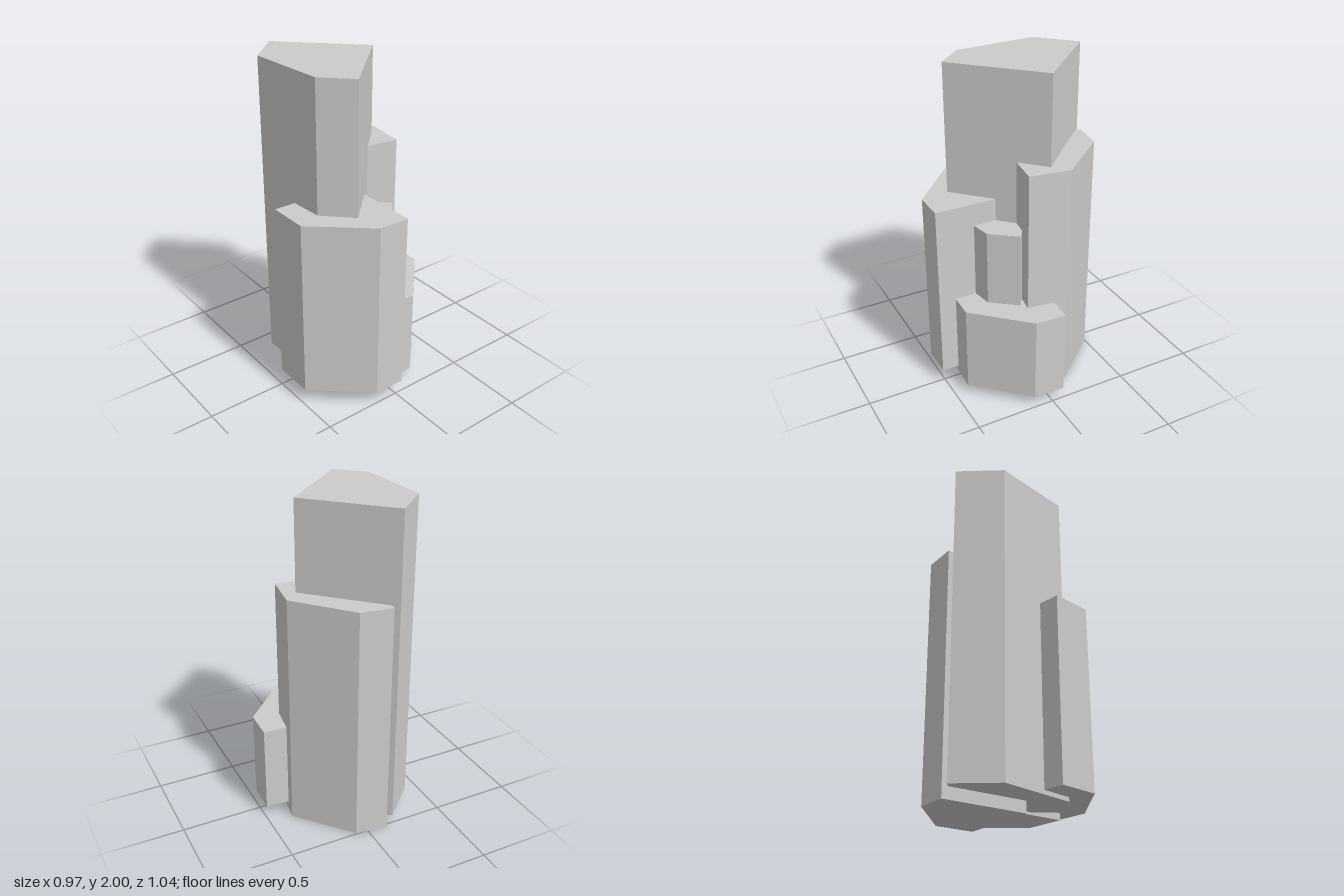
import * as THREE from 'three';

// Each column: name, bottom height, top height, outline as [x, z] corners
const COLUMNS = [
  ['tallColumn', 0.07, 2.0,
    [[-0.16, -0.52], [0.265, -0.09], [-0.185, 0.35], [-0.343, 0.19], [-0.37, -0.315]]],
  ['backColumn', 0, 1.46,
    [[-0.12, -0.522], [0.075, -0.495], [0.353, -0.17], [0.318, 0.078], [-0.2, 0.005]]],
  ['sideColumn', 0.095, 1.21,
    [[-0.487, -0.015], [-0.487, 0.235], [-0.163, 0.52], [0.03, 0.52], [0.03, -0.015]]],
  ['smallColumn', 0.08, 1.07,
    [[0.272, 0.105], [0.153, 0.26], [0.0, 0.287], [-0.04, 0.1], [0.12, -0.005]]],
  ['shortColumn', 0.055, 0.6,
    [[0.485, -0.083], [0.478, 0.11], [0.185, 0.421], [-0.07, 0.411], [-0.03, 0.13], [0.2, -0.097]]],
];

// Upright prism over a ground outline
function prism(outline, bottom, top) {
  const shape = new THREE.Shape(outline.map(([x, z]) => new THREE.Vector2(x, -z)));
  return new THREE.ExtrudeGeometry(shape, { depth: top - bottom, bevelEnabled: false })
    .rotateX(-Math.PI / 2)
    .translate(0, bottom, 0);
}

export function createModel() {
  const group = new THREE.Group();
  group.name = 'stoneColumns';
  const stone = new THREE.MeshStandardMaterial({ color: 0xcccccc, flatShading: true });
  for (const [name, bottom, top, outline] of COLUMNS) {
    const mesh = new THREE.Mesh(prism(outline, bottom, top), stone);
    mesh.name = name;
    group.add(mesh);
  }
  return group;
}
